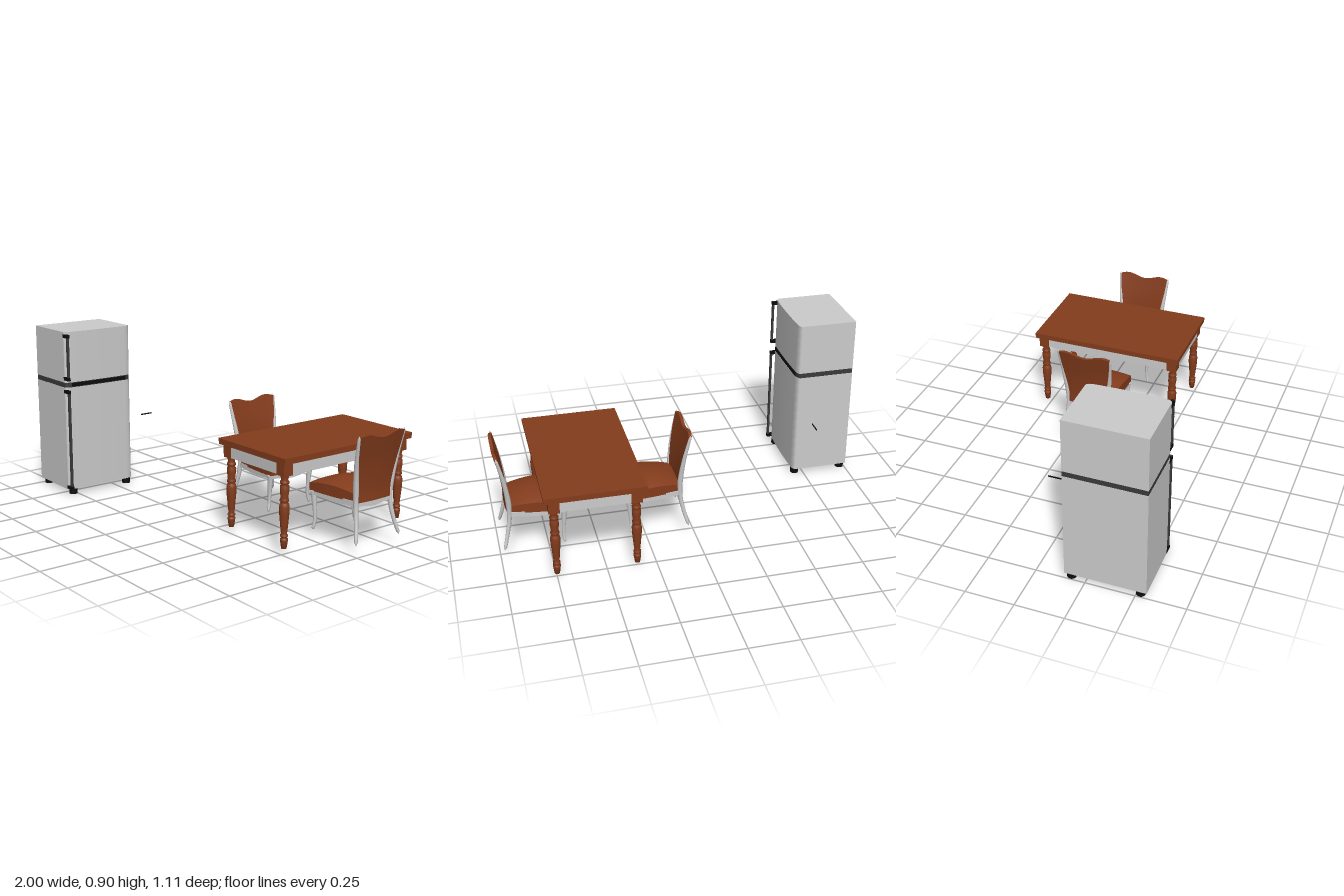
import * as THREE from 'three';

const mat = (color) => new THREE.MeshStandardMaterial({ color, side: THREE.DoubleSide });
const grey = mat(0xcccccc), wood = mat(0x843c1c), dark = mat(0x3a3a3a), black = mat(0x0c0c0c);

function add(parent, name, geometry, material, x = 0, y = 0, z = 0) {
  const mesh = new THREE.Mesh(geometry, material);
  mesh.name = name;
  mesh.position.set(x, y, z);
  parent.add(mesh);
  return mesh;
}

// box given by its min and max corners
function block(parent, name, material, [x0, y0, z0], [x1, y1, z1]) {
  return add(parent, name, new THREE.BoxGeometry(x1 - x0, y1 - y0, z1 - z0), material,
    (x0 + x1) / 2, (y0 + y1) / 2, (z0 + z1) / 2);
}

// move every vertex of a geometry by a rule
function reshape(geometry, rule) {
  const p = geometry.attributes.position, v = new THREE.Vector3();
  for (let i = 0; i < p.count; i++) {
    rule(v.fromBufferAttribute(p, i), i);
    p.setXYZ(i, v.x, v.y, v.z);
  }
  geometry.computeVertexNormals();
  return geometry;
}

// tube through points whose radius runs from r0 through r1 to r2, closed at both ends
function taperedTube(points, r0, r1, r2) {
  const n = 32, sides = 8;
  const curve = new THREE.CatmullRomCurve3(points.map((p) => new THREE.Vector3(...p)));
  return reshape(new THREE.TubeGeometry(curve, n, 1, sides), (v, i) => {
    const ring = Math.floor(i / (sides + 1)), t = ring / n;
    const c = curve.getPointAt(t);
    const r = t < 0.5 ? THREE.MathUtils.lerp(r0, r1, t * 2) : THREE.MathUtils.lerp(r1, r2, t * 2 - 1);
    v.sub(c).multiplyScalar(ring === 0 || ring === n ? 0 : r).add(c);
  });
}

// fridge body outline seen from above, extruded from y0 to y1
function cabinet(y0, y1, inset = 0) {
  const z0 = 0.146 + inset, z1 = 0.555 - inset, front = -0.682 - inset;
  const s = new THREE.Shape();
  s.moveTo(-1 + inset, -z0);
  s.lineTo(front - 0.018, -z0);
  s.quadraticCurveTo(front - 0.005, -z0 - 0.005, front - 0.002, -z0 - 0.035);
  s.quadraticCurveTo(front + 0.006, -(z0 + z1) / 2, front - 0.002, -z1 + 0.035);
  s.quadraticCurveTo(front - 0.005, -z1 + 0.005, front - 0.018, -z1);
  s.lineTo(-1 + inset, -z1);
  const g = new THREE.ExtrudeGeometry(s, { depth: y1 - y0, bevelEnabled: false, curveSegments: 10 });
  return g.rotateX(-Math.PI / 2).translate(0, y0, 0);
}

function createFridge() {
  const g = new THREE.Group();
  g.name = 'fridge';
  add(g, 'lowerCabinet', cabinet(0.03, 0.6), grey);
  add(g, 'upperCabinet', cabinet(0.627, 0.902), grey);
  add(g, 'dividerBand', cabinet(0.6, 0.627, 0.001), dark);
  block(g, 'dividerRecess', black, [-0.7, 0.604, 0.18], [-0.679, 0.623, 0.52]);
  for (const x of [-0.975, -0.705])
    for (const z of [0.175, 0.52])
      add(g, 'foot', new THREE.CylinderGeometry(0.023, 0.023, 0.03, 16), black, x, 0.015, z);
  // door handles: a bar on two end brackets
  for (const [y0, y1] of [[0.64, 0.89], [0.033, 0.587]]) {
    block(g, 'handleBar', dark, [-0.672, y0, 0.542], [-0.661, y1, 0.555]);
    for (const y of [y0, y1 - 0.018])
      block(g, 'handleBracket', black, [-0.705, y, 0.54], [-0.66, y + 0.018, 0.557]);
  }
  return g;
}

function createTable() {
  const g = new THREE.Group();
  g.name = 'table';
  block(g, 'tableTop', wood, [0.3, 0.464, -0.555], [0.8, 0.48, 0.276]);
  // lower layer in three lengths
  for (const [z0, z1] of [[-0.553, -0.386], [-0.383, 0.047], [0.05, 0.274]])
    block(g, 'tableTopEdge', wood, [0.302, 0.45, z0], [0.798, 0.464, z1]);
  // apron
  for (const x of [0.335, 0.765])
    block(g, 'sideApron', grey, [x - 0.008, 0.39, -0.5], [x + 0.008, 0.45, 0.22]);
  for (const z of [-0.53, 0.25])
    block(g, 'endApron', grey, [0.36, 0.39, z - 0.008], [0.74, 0.45, z + 0.008]);
  // turned legs
  const profile = [[0, 0.03], [0.013, 0.03], [0.019, 0.07], [0.019, 0.078], [0.013, 0.083], [0.019, 0.09],
    [0.019, 0.096], [0.014, 0.102], [0.017, 0.125], [0.024, 0.2], [0.025, 0.235], [0.021, 0.25],
    [0.017, 0.256], [0.022, 0.262], [0.022, 0.27], [0.018, 0.278], [0.022, 0.31], [0.022, 0.335],
    [0.016, 0.341], [0.022, 0.349], [0.022, 0.357], [0.016, 0.365], [0.021, 0.385], [0.021, 0.392]];
  const leg = new THREE.LatheGeometry(profile.map(([r, y]) => new THREE.Vector2(r, y)), 20);
  for (const x of [0.35, 0.75])
    for (const z of [-0.515, 0.234]) {
      add(g, 'tableLeg', leg, wood, x, 0, z);
      block(g, 'legBlock', wood, [x - 0.027, 0.387, z - 0.027], [x + 0.027, 0.45, z + 0.027]);
    }
  return g;
}

// chair facing +x, centred on z = 0
function createChair() {
  const g = new THREE.Group();
  g.name = 'chair';
  const post = [[0.032, 0.05, 0.143], [0.053, 0.13, 0.124], [0.07, 0.22, 0.113], [0.071, 0.3, 0.114],
    [0.056, 0.43, 0.13], [0.024, 0.582, 0.147]];
  const frontLeg = [[0.337, 0.052, 0.139], [0.333, 0.1, 0.13], [0.338, 0.18, 0.13], [0.345, 0.255, 0.132]];
  for (const side of [-1, 1]) {
    const flip = ([x, y, z]) => [x, y, z * side];
    add(g, 'backPost', taperedTube(post.map(flip), 0.008, 0.014, 0.007), grey);
    add(g, 'frontLeg', taperedTube(frontLeg.map(flip), 0.007, 0.01, 0.016), grey);
  }

  // upholstered back following the posts, with a wavy top
  const line = new THREE.CatmullRomCurve3(post.slice(2).map((p) => new THREE.Vector3(...p)));
  const at = (y) => {
    let a = 0, b = 1;
    for (let i = 0; i < 20; i++) {
      const m = (a + b) / 2;
      if (line.getPoint(m).y < y) a = m; else b = m;
    }
    return line.getPoint(a);
  };
  add(g, 'backPanel', reshape(new THREE.BoxGeometry(0.016, 1, 2, 1, 14, 20), (v) => {
    const u = v.z, top = 0.569 - 0.011 * Math.cos(u * Math.PI * 1.4);
    const y = 0.245 + (v.y + 0.5) * (top - 0.245), p = at(y);
    v.set(v.x + p.x - 0.008 * (1 - u * u), y, u * (p.z - 0.004));
  }), wood);

  // domed cushion, wider at the front
  const half = (x) => 0.113 + 0.03 * Math.sin(THREE.MathUtils.clamp((x - 0.07) / 0.29, 0, 1) * Math.PI / 2);
  add(g, 'seatCushion', reshape(new THREE.BoxGeometry(0.286, 1, 2, 14, 2, 14), (v) => {
    const a = v.x / 0.143, u = v.z, x = v.x + 0.217;
    const dome = 0.285 + 0.033 * (1 - a * a) * (1 - 0.5 * u * u) + 0.008 * (1 - u * u);
    v.set(x + (a > 0 ? 0.006 * a * (1 - u * u) : 0), v.y > 0.1 ? dome : v.y < -0.1 ? 0.247 : 0.27, u * half(x));
  }), wood);

  // scalloped seat rails
  const rail = (name, [x0, z0], [x1, z1], dip) => {
    const length = Math.hypot(x1 - x0, z1 - z0);
    const geo = reshape(new THREE.BoxGeometry(length, 0.025, 0.014, 20, 1, 1), (v) => {
      if (v.y < 0) v.y -= dip * (0.5 + 0.5 * Math.cos(v.x / length * Math.PI * 2));
    });
    add(g, name, geo, grey, (x0 + x1) / 2, 0.241, (z0 + z1) / 2).rotation.y = -Math.atan2(z1 - z0, x1 - x0);
  };
  for (const side of [-1, 1]) rail('sideRail', [0.075, side * 0.112], [0.345, side * 0.135], 0.006);
  rail('frontRail', [0.35, -0.132], [0.35, 0.132], 0.014);
  rail('backRail', [0.072, -0.11], [0.072, 0.11], 0.014);
  return g;
}

export function createModel() {
  const model = new THREE.Group();
  model.name = 'kitchenSet';
  model.add(createFridge(), createTable());
  const leftChair = createChair(), rightChair = createChair();
  leftChair.position.z = rightChair.position.z = -0.153;
  rightChair.position.x = 1.012;
  rightChair.rotation.y = Math.PI;
  model.add(leftChair, rightChair);
  // loose thin rod
  block(model, 'rod', black, [-0.747, 0.367, -0.033], [-0.743, 0.373, 0.039]);
  return model;
}
